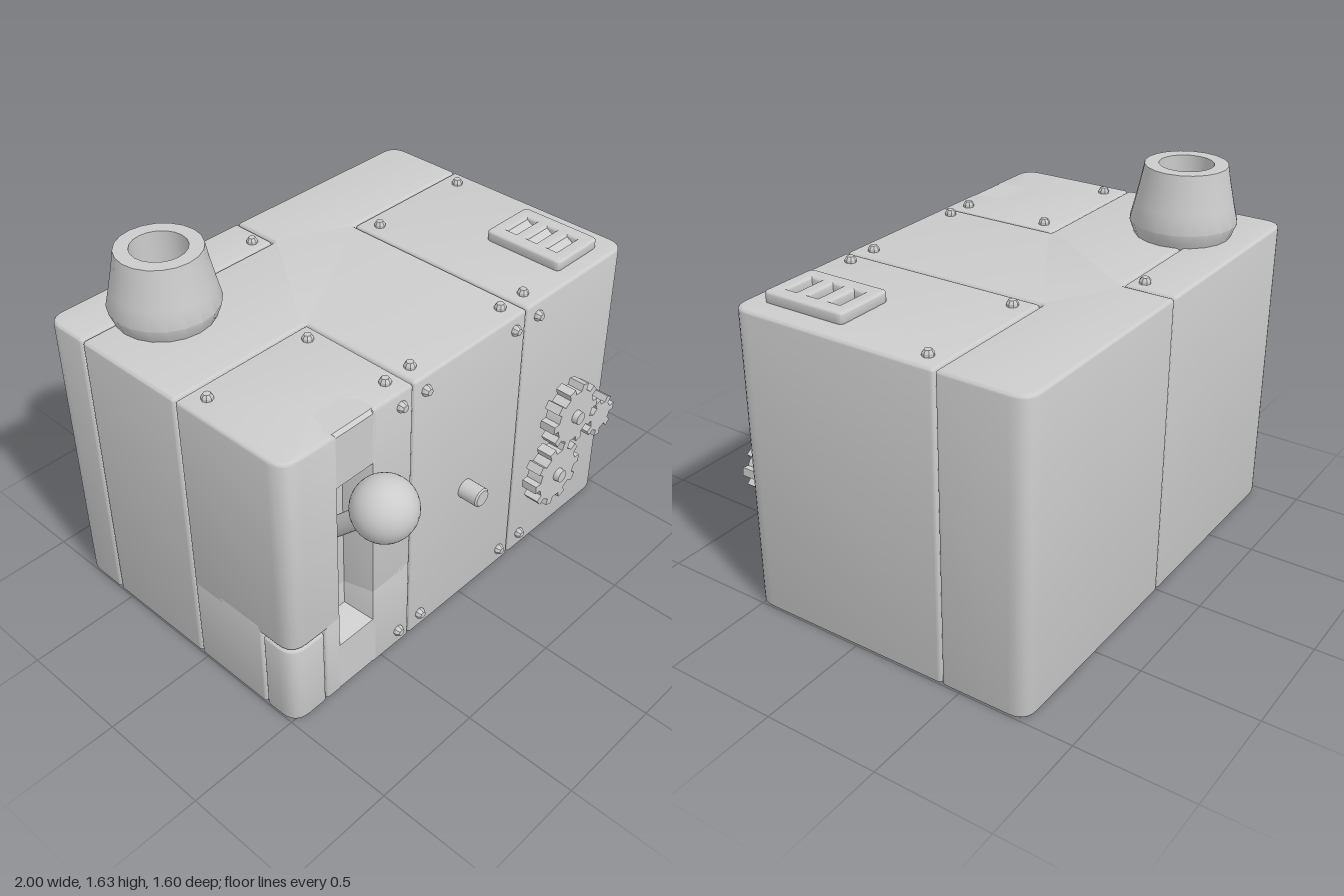
import * as THREE from 'three';
import { toCreasedNormals } from 'three/addons/utils/BufferGeometryUtils.js';

const material = new THREE.MeshStandardMaterial({ color: 0xcccccc });
const TOP = 1.33, FRONT = 0.525, BACK = -0.8, BEVEL = 0.014, R = 0.08;

// Closed shape from [x, y, cornerRadius] points
function roundedShape(points, Type = THREE.Shape) {
  const shape = new Type();
  points.forEach(([x, y, r = 0.015], i) => {
    const corner = new THREE.Vector2(x, y);
    const toward = (p) => new THREE.Vector2(p[0], p[1]).sub(corner).setLength(r).add(corner);
    const a = toward(points[(i + points.length - 1) % points.length]);
    const b = toward(points[(i + 1) % points.length]);
    if (i === 0) shape.moveTo(a.x, a.y); else shape.lineTo(a.x, a.y);
    if (r > 0) shape.quadraticCurveTo(x, y, b.x, b.y);
  });
  shape.closePath();
  return shape;
}

// Bevelled extrusion along z that stays inside the given outline
function extrude(shape, depth, bevel = 0) {
  return toCreasedNormals(new THREE.ExtrudeGeometry(shape, {
    depth: depth - 2 * bevel, curveSegments: 6, bevelEnabled: bevel > 0,
    bevelThickness: bevel, bevelSize: bevel, bevelOffset: -bevel, bevelSegments: 3,
  }).translate(0, 0, bevel), 0.6);
}

// Upright block from a floor plan of [x, z, radius] points
function block(plan, y0, y1, bevel = BEVEL) {
  const shape = roundedShape(plan.map(([x, z, r]) => [x, -z, r]));
  return extrude(shape, y1 - y0, bevel).rotateX(-Math.PI / 2).translate(0, y0, 0);
}

function gearShape(teeth, outer, root, phase) {
  const shape = new THREE.Shape();
  const step = (Math.PI * 2) / teeth;
  for (let i = 0; i < teeth; i++) {
    // root, tip, tip, root, then a mid-gap point keeps the root round
    [[-0.25, root], [-0.2, outer], [0.2, outer], [0.25, root], [0.5, root]].forEach(([t, r], k) => {
      const a = phase + (i + t) * step;
      shape[i + k === 0 ? 'moveTo' : 'lineTo'](Math.cos(a) * r, Math.sin(a) * r);
    });
  }
  shape.closePath();
  return shape;
}

export function createModel() {
  const group = new THREE.Group();
  const add = (name, geometry, x = 0, y = 0, z = 0, parent = group) => {
    const mesh = new THREE.Mesh(geometry, material);
    mesh.name = name;
    mesh.position.set(x, y, z);
    parent.add(mesh);
    return mesh;
  };

  // Core of the body, between the corner panels
  add('bodyCore', block([
    [-0.332, FRONT], [0.329, FRONT], [0.329, -0.421], [1, -0.421], [1, BACK, R],
    [0.003, BACK], [0.003, -0.571], [-1, -0.571], [-1, -0.037], [-0.332, -0.037],
  ], 0, TOP));
  add('backPanel', block([[-1, BACK, R], [-0.003, BACK], [-0.003, -0.577], [-1, -0.577]], 0, TOP));
  add('gearPanel', block([[0.335, FRONT], [1, FRONT, R], [1, -0.415], [0.335, -0.415]], 0, TOP));

  // Lever panel: one recess down its front, an inset lower corner
  const recess = [[-0.745, FRONT, 0], [-0.71, 0.4, 0], [-0.59, 0.4, 0], [-0.555, FRONT, 0], [-0.338, FRONT]];
  const rear = [[-0.338, -0.031], [-1, -0.031]];
  add('leverPanelUpper', block([[-1, FRONT, R], ...recess, ...rear], 0.404, TOP));
  add('leverPanelLower', block([[-0.82, FRONT], ...recess, ...rear, [-1, 0.357], [-0.82, 0.357]], 0, 0.45));
  add('cornerBlock', block([[-1, FRONT, R], [-0.826, FRONT], [-0.826, 0.363], [-1, 0.363]], 0, 0.399));

  // Fillers closing the recess below and above, with sloped ends
  const c = BEVEL;
  const fillers = {
    recessBottom: [[0.36, 0], [FRONT - c, 0], [FRONT, c], [FRONT, 0.26], [0.4, 0.3], [0.36, 0.3]],
    recessTop: [[0.36, TOP], [FRONT - c, TOP], [FRONT, TOP - c], [FRONT, 1.085], [0.4, 1.045], [0.36, 1.045]],
  };
  for (const [name, profile] of Object.entries(fillers)) {
    const shape = roundedShape(profile.map(([z, y]) => [-z, y, 0]));
    add(name, extrude(shape, 0.22).rotateY(Math.PI / 2), -0.76, 0, 0);
  }

  // Lever
  const lever = new THREE.Group();
  lever.name = 'lever';
  lever.position.set(-0.648, 1.018, 0.67);
  group.add(lever);
  add('leverBall', new THREE.SphereGeometry(0.13, 32, 24), 0, 0, 0, lever);
  const arm = new THREE.CylinderGeometry(0.041, 0.041, 0.46, 20).translate(0, -0.23, 0);
  add('leverArm', arm, 0, 0, 0, lever).rotation.x = Math.PI / 4;

  // Chimney with a hollow bore
  const profile = [
    [0.2, 1.32], [0.21, 1.345], [0.227, 1.39], [0.208, 1.47], [0.186, 1.57], [0.175, 1.63],
    [0.115, 1.63], [0.115, 1.4], [0, 1.4],
  ].map(([r, y]) => new THREE.Vector2(r, y));
  add('chimney', toCreasedNormals(new THREE.LatheGeometry(profile, 20), 0.6), -0.655, 0, -0.49);

  // Vent plate with three louvres
  const plate = roundedShape([[-0.135, -0.19], [0.135, -0.19], [0.135, 0.19], [-0.135, 0.19]]
    .map(([x, y]) => [x, y, 0.025]));
  const vent = new THREE.Group();
  vent.name = 'vent';
  vent.position.set(0.765, TOP - 0.005, 0.26);
  group.add(vent);
  for (const y of [-0.105, 0, 0.105]) {
    plate.holes.push(roundedShape([[-0.07, y - 0.025, 0], [0.07, y - 0.025, 0],
      [0.07, y + 0.025, 0], [-0.07, y + 0.025, 0]], THREE.Path));
    const slope = new THREE.BoxGeometry(0.17, 0.006, 0.07).rotateX(0.55);
    add('louvre', slope, 0, 0.02, y, vent);
  }
  add('ventPlate', extrude(plate, 0.05, 0.01).rotateX(-Math.PI / 2), 0, 0, 0, vent);

  // Bolts on the top and front
  const bolt = toCreasedNormals(new THREE.LatheGeometry(
    [[0.024, -0.01], [0.024, 0.012], [0.015, 0.025], [0, 0.026]].map(([r, y]) => new THREE.Vector2(r, y)), 8), 0.5);
  const topBolts = [[-0.065, -0.635], [-0.91, 0.045], [-0.405, 0.045], [-0.405, 0.445], [-0.27, 0.445],
    [0.26, 0.445], [0.405, 0.445], [0.405, -0.335], [0.92, -0.335]];
  for (const [x, z] of topBolts) add('topBolt', bolt, x, TOP, z);
  for (const x of [-0.405, -0.27, 0.26, 0.405]) {
    for (const y of [0.08, 1.265]) add('frontBolt', bolt, x, y, FRONT).rotation.x = Math.PI / 2;
  }

  // Push knob
  const knob = new THREE.LatheGeometry(
    [[0.043, -0.02], [0.043, 0.088], [0.036, 0.095], [0, 0.095]].map(([r, y]) => new THREE.Vector2(r, y)), 20);
  add('knob', toCreasedNormals(knob, 0.6), -0.003, 0.61, FRONT).rotation.x = Math.PI / 2;

  // Gears, two of them with hub caps
  const gears = [
    [0.635, 0.665, 10, 0.156, 0.124, 70, true],
    [0.54, 0.395, 10, 0.156, 0.124, 180, true],
    [0.835, 0.55, 7, 0.1, 0.07, 5, false],
  ];
  for (const [x, y, teeth, outer, root, degrees, hub] of gears) {
    const gear = new THREE.Group();
    gear.name = 'gear';
    gear.position.set(x, y, FRONT);
    group.add(gear);
    add('gearWheel', extrude(gearShape(teeth, outer, root, degrees * Math.PI / 180), 0.075), 0, 0, 0.014, gear);
    const length = hub ? 0.13 : 0.08;
    const axle = new THREE.CylinderGeometry(0.03, 0.038, length, 12).rotateX(Math.PI / 2);
    add('gearAxle', axle, 0, 0, length / 2 - 0.015, gear);
  }

  return group;
}
